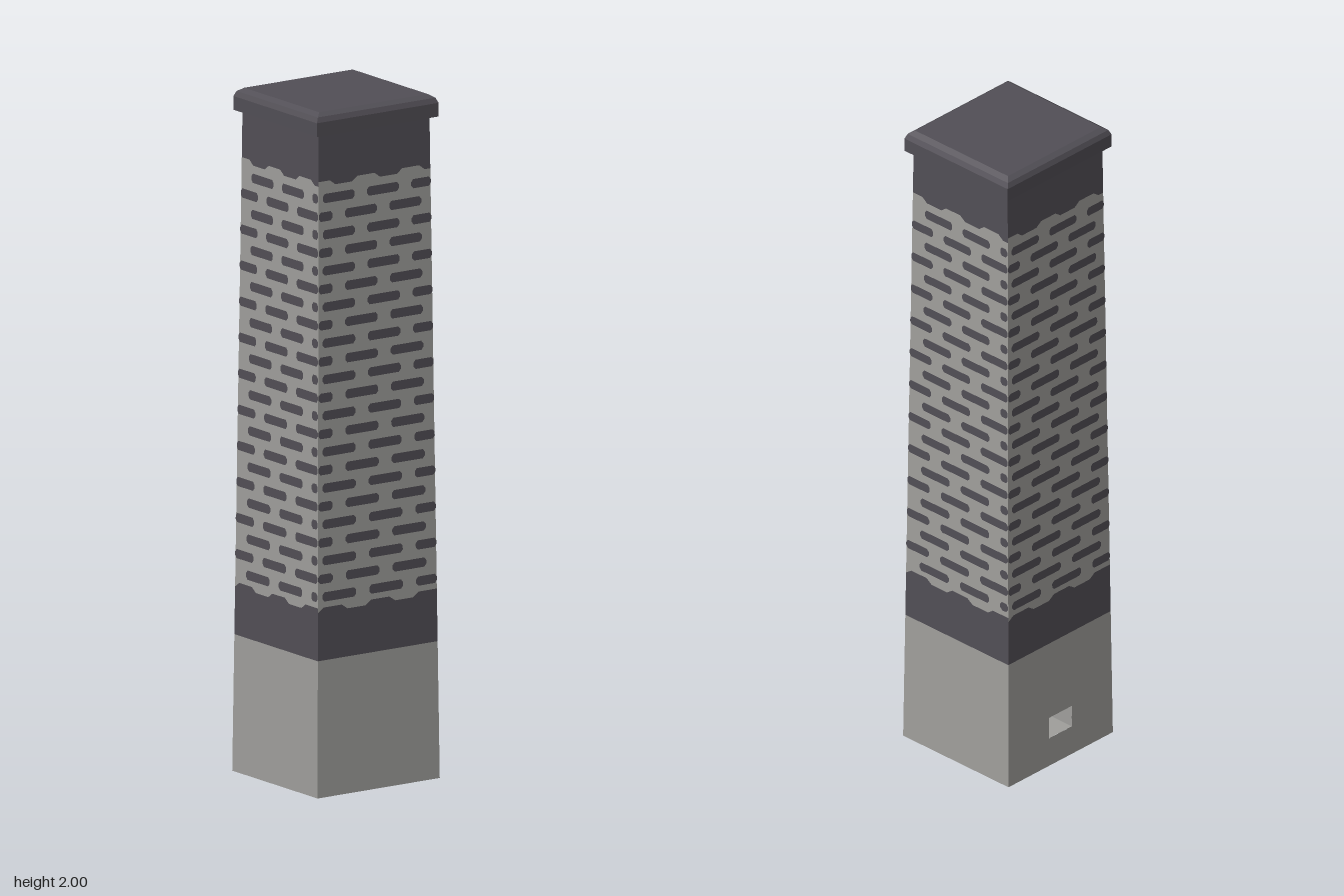
import * as THREE from 'three';
import { mergeGeometries } from 'three/addons/utils/BufferGeometryUtils.js';

const stone = new THREE.MeshStandardMaterial({ name: 'lightStone', color: 0xa09f9c });
const slate = new THREE.MeshStandardMaterial({ name: 'darkSlate', color: 0x524f56 });

// Half width and half depth of the tapering shaft at height y
const halfX = (y) => 0.214 - 0.0103 * y;
const halfZ = (y) => 0.208 - 0.0115 * y;
const sideNames = ['front', 'left', 'back', 'right'];

// Wrap a flat outline (s from -1 to 1 across the wall, y up) onto one tilted wall
function wall(points, side, lift = 0, hole) {
  const shape = new THREE.Shape(points.map(([s, y]) => new THREE.Vector2(s, y)));
  if (hole) shape.holes.push(new THREE.Path(hole.map(([s, y]) => new THREE.Vector2(s, y))));
  const geo = new THREE.ShapeGeometry(shape);
  const p = geo.attributes.position;
  for (let i = 0; i < p.count; i++) {
    const s = p.getX(i), y = p.getY(i);
    const hx = halfX(y), hz = halfZ(y);
    if (side === 0) p.setXYZ(i, s * hx, y, hz + lift);
    if (side === 1) p.setXYZ(i, hx + lift, y, -s * hz);
    if (side === 2) p.setXYZ(i, -s * hx, y, -hz - lift);
    if (side === 3) p.setXYZ(i, -hx - lift, y, s * hz);
  }
  geo.computeVertexNormals();
  return geo;
}

// Box whose upper end has a different size from its lower end
function frustum(y0, y1, x0, z0, x1, z1) {
  const geo = new THREE.BoxGeometry(2, 1, 2).toNonIndexed();
  const p = geo.attributes.position;
  for (let i = 0; i < p.count; i++) {
    const top = p.getY(i) > 0;
    p.setXYZ(i, p.getX(i) * (top ? x1 : x0), top ? y1 : y0, p.getZ(i) * (top ? z1 : z0));
  }
  geo.computeVertexNormals();
  return geo;
}

// Uneven border between the plain bands and the brickwork
function border(y, phase) {
  const pts = [];
  for (let i = 0; i <= 20; i++) {
    const s = -1 + i / 10;
    pts.push([s, y + 0.007 * Math.sign(Math.sin(s * 8 + phase))]);
  }
  return pts;
}

// Staggered rows of dark bricks with narrowed ends
function bricks(side) {
  const parts = [];
  const period = 0.79, half = 0.285, h = 0.0135;
  for (let row = 0; row < 23; row++) {
    const y = 0.585 + row * 0.0528;
    const offset = (row % 2 ? 0.54 : 0.145) + (side % 2 ? 0.2 : 0);
    for (let k = -3; k <= 2; k++) {
      const c = offset + k * period;
      const a = Math.max(-1, c - half), b = Math.min(1, c + half);
      if (b - a < 0.08) continue;
      const t = 0.035;
      parts.push(wall([
        [a, y - h * 0.4], [a + t, y - h], [b - t, y - h], [b, y - h * 0.4],
        [b, y + h * 0.4], [b - t, y + h], [a + t, y + h], [a, y + h * 0.4],
      ], side, 0.0015));
    }
  }
  return mergeGeometries(parts);
}

export function createModel() {
  const model = new THREE.Group();
  model.name = 'brickPillar';
  const add = (name, geo, mat) => {
    const mesh = new THREE.Mesh(geo, mat);
    mesh.name = name;
    model.add(mesh);
  };

  // Four walls: plinth, dark band, brickwork and dark collar
  const opening = [[-0.22, 0.09], [-0.22, 0.157], [0.22, 0.157], [0.22, 0.09]];
  const low = border(0.547, 1), high = border(1.79, 2.5);
  for (let side = 0; side < 4; side++) {
    const n = sideNames[side];
    add(n + 'Plinth', wall([[-1, 0], [1, 0], [1, 0.4], [-1, 0.4]], side, 0,
      side === 2 ? opening : null), stone);
    add(n + 'LowerBand', wall([[-1, 0.4], [1, 0.4], ...[...low].reverse()], side), slate);
    add(n + 'Mortar', wall([...low, ...[...high].reverse()], side), stone);
    add(n + 'Bricks', bricks(side), slate);
    add(n + 'Collar', wall([...high, [1, 1.94], [-1, 1.94]], side), slate);
  }

  // Underside
  const under = new THREE.PlaneGeometry(2 * halfX(0), 2 * halfZ(0));
  under.rotateX(Math.PI / 2);
  add('underside', under, stone);

  // Recess in the back of the plinth: an inside-out box without its outer end
  const recess = new THREE.BoxGeometry(0.0938, 0.067, 0.2);
  recess.setIndex(Array.from(recess.index.array).slice(0, 30));
  recess.scale(-1, 1, 1);
  recess.translate(0, 0.1235, -0.1066);
  recess.computeVertexNormals();
  add('backRecess', recess, stone);

  // Cap slab with a two-step bevelled rim
  add('capSlab', frustum(1.935, 1.975, 0.213, 0.204, 0.213, 0.204), slate);
  add('capLowerBevel', frustum(1.975, 1.99, 0.213, 0.204, 0.206, 0.198), slate);
  add('capUpperBevel', frustum(1.99, 2, 0.206, 0.198, 0.19, 0.183), slate);
  return model;
}
